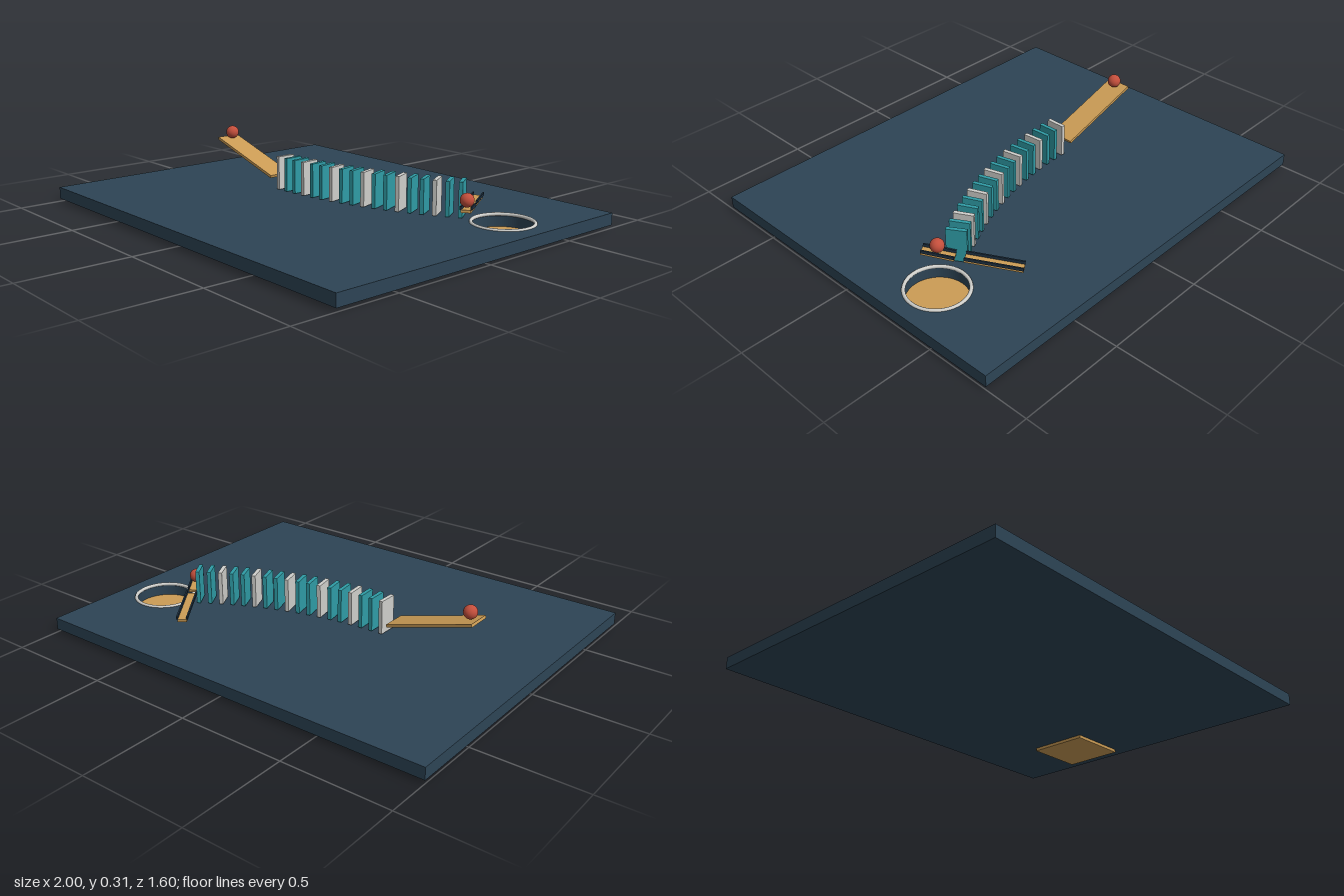
import * as THREE from 'three';

const mat = (name, color) => Object.assign(new THREE.MeshStandardMaterial({ color }), { name });

export function createModel() {
  const navy = mat('navy board', 0x2d4455);
  const darkNavy = mat('dark rail', 0x1e3040);
  const wood = mat('wood', 0xcb9c55);
  const teal = mat('teal', 0x2f9ca6);
  const pale = mat('pale grey', 0xcfcfcb);
  const red = mat('red', 0xc44f3c);

  const model = new THREE.Group();
  model.name = 'dominoRun';
  const add = (parent, name, geometry, material, x = 0, y = 0, z = 0) => {
    const mesh = new THREE.Mesh(geometry, material);
    mesh.name = name;
    mesh.position.set(x, y, z);
    parent.add(mesh);
    return mesh;
  };

  // Board with a round hole
  const bottom = 0.014, top = 0.069, cupX = 0.79, cupZ = -0.32;
  const outline = new THREE.Shape([
    new THREE.Vector2(-1, -0.8), new THREE.Vector2(1, -0.8),
    new THREE.Vector2(1, 0.8), new THREE.Vector2(-1, 0.8),
  ]);
  outline.holes.push(new THREE.Path().absarc(cupX, -cupZ, 0.132, 0, Math.PI * 2, true));
  const boardGeometry = new THREE.ExtrudeGeometry(outline, {
    depth: top - bottom, bevelEnabled: false, curveSegments: 48,
  }).rotateX(-Math.PI / 2);
  add(model, 'board', boardGeometry, navy, 0, bottom, 0);

  // Floor plate and rim of the cup
  add(model, 'cupFloor', new THREE.BoxGeometry(0.29, bottom, 0.29), wood, cupX, bottom / 2, cupZ);
  add(model, 'cupRim', new THREE.TorusGeometry(0.135, 0.008, 10, 48).rotateX(Math.PI / 2),
    pale, cupX, top, cupZ);

  // Launch ramp and its ball
  const ramp = add(model, 'launchRamp', new THREE.BoxGeometry(0.44, 0.013, 0.115), wood, -0.522, 0.191, 0);
  ramp.rotation.z = -0.285;
  const ball = new THREE.SphereGeometry(0.031, 32, 20);
  add(model, 'launchBall', ball, red, -0.692, 0.284, 0);

  // Dominoes along an arc, every third one pale
  const step = 0.033, radius = 0.055 / step;
  const domino = new THREE.BoxGeometry(0.018, 0.157, 0.09);
  for (let i = 0; i < 18; i++) {
    const a = i * step;
    const piece = add(model, 'domino' + (i + 1), domino, i % 3 ? teal : pale,
      -0.27 + radius * Math.sin(a), 0.153, -radius * (1 - Math.cos(a)));
    piece.rotation.y = a;
  }

  // Sloping chutes: a plank with a rail on each side
  const addChute = (name, length, pitch, x, y, z) => {
    const chute = new THREE.Group();
    chute.name = name;
    chute.position.set(x, y, z);
    chute.rotation.set(-pitch, 0.59, 0, 'YXZ');
    add(chute, 'plank', new THREE.BoxGeometry(0.042, 0.012, length), wood);
    for (const side of [-1, 1]) {
      add(chute, side < 0 ? 'rightRail' : 'leftRail',
        new THREE.BoxGeometry(0.007, 0.014, length), darkNavy, side * 0.0225, 0.013, 0);
    }
    model.add(chute);
  };
  addChute('upperChute', 0.14, 0.12, 0.685, 0.122, -0.215);
  addChute('lowerChute', 0.245, 0.085, 0.555, 0.104, -0.407);
  add(model, 'chuteBall', ball, red, 0.684, 0.163, -0.21);

  return model;
}
